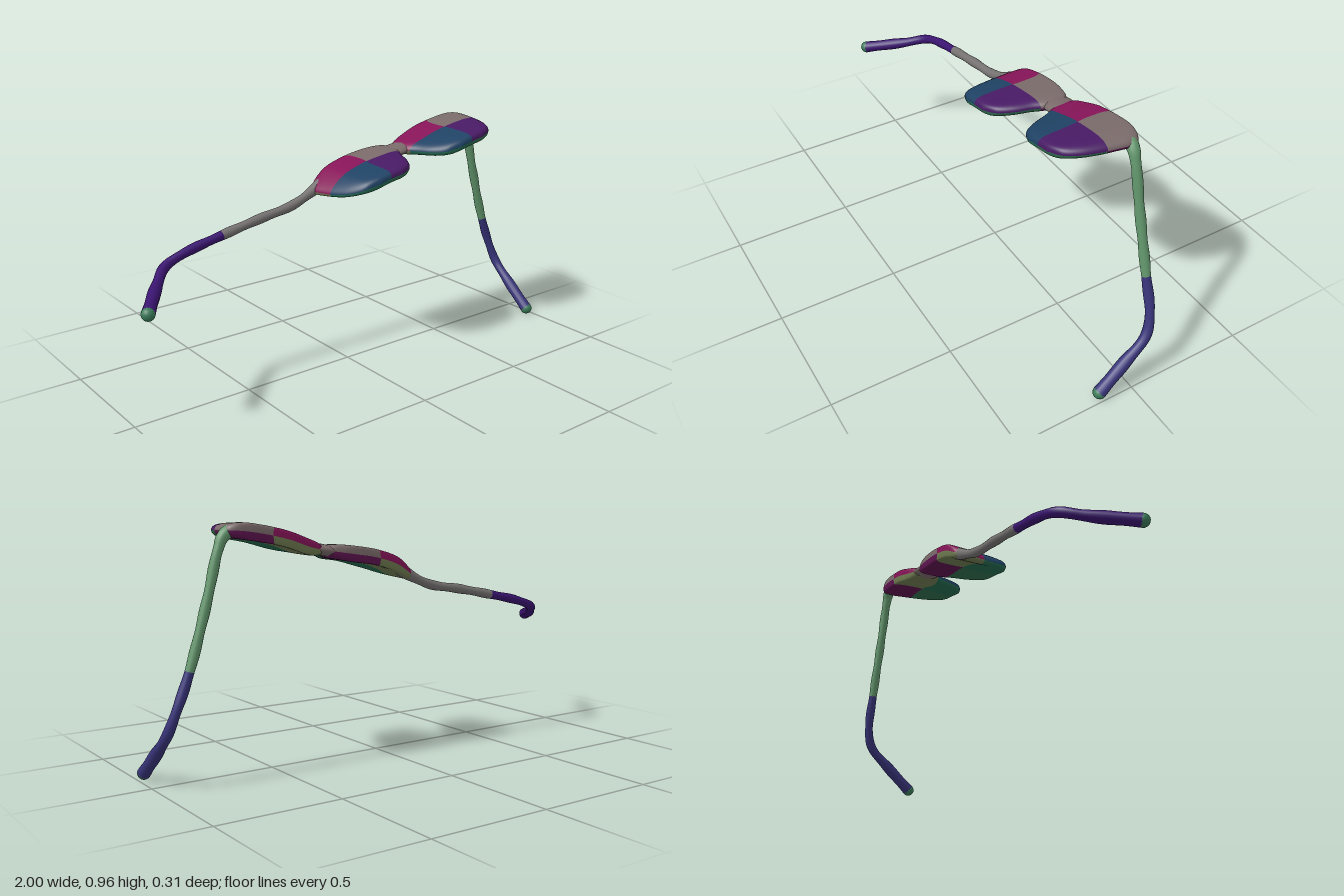
import * as THREE from 'three';
import { ParametricGeometry } from 'three/addons/geometries/ParametricGeometry.js';

const mat = (color) => new THREE.MeshStandardMaterial({ color });
const v2 = (list) => new THREE.SplineCurve(list.map((p) => new THREE.Vector2(...p)));

// Height of the front frame along x (evenly spaced samples from -0.1 to 0.8)
const heights = [0.735, 0.787, 0.817, 0.833, 0.848, 0.866, 0.898, 0.92, 0.934, 0.935];
const heightCurve = v2(heights.map((y, i) => [i / 9, y]));
const frameY = (x) => heightCurve.getPoint(THREE.MathUtils.clamp((x + 0.1) / 0.9, 0, 1)).y;

// Lens outline as [x, z], from brow edge to cheek edge
const outer = v2([[0, -0.153], [-0.07, -0.143], [-0.097, -0.11], [-0.087, -0.04],
  [-0.073, 0.02], [-0.05, 0.08], [-0.012, 0.13], [0.045, 0.153]]);
const inner = v2([[0.17, -0.155], [0.26, -0.149], [0.316, -0.125], [0.312, -0.05],
  [0.285, 0.005], [0.26, 0.07], [0.222, 0.125], [0.165, 0.153]]);
const bridgeX = 0.325;
const ease = (t) => Math.sin((t * 2 - 1) * Math.PI / 2);

// Point on a padded lens: a runs along x, b along z, side is +1 top or -1 underside.
// The lens thins and dips towards the cheek, and its underside is slightly dished.
function lensPoint(a, b, side, mirrored, target) {
  const u = ease(a), v = ease(b);
  const p = outer.getPoint((v + 1) / 2);
  const k = mirrored ? (1 - u) / 2 : (u + 1) / 2;
  p.lerp(inner.getPoint((v + 1) / 2), k);
  const x = mirrored ? 2 * bridgeX - p.x : p.x;
  const cheek = (v + 1) / 2;
  let h = (0.036 - 0.01 * cheek) * Math.sqrt(Math.max(0, (1 - u ** 6) * (1 - v ** 6)));
  if (side < 0) h -= 0.007 * ((1 - u * u) * (1 - v * v)) ** 2;
  target.set(x, frameY(x) - 0.008 * cheek * cheek + side * h, p.y);
}

// Colours per quarter: [brow left, brow right, cheek left, cheek right]
const topColors = [0x861458, 0x7a6a6a, 0x1f4264, 0x481a64];
const underColors = [0x6e7a50, 0x5e1450, 0x246a50, 0x2f6a4c];

function makeLens(name, mirrored) {
  const lens = new THREE.Group();
  lens.name = name;
  for (const side of [1, -1]) {
    for (let q = 0; q < 4; q++) {
      const a0 = (q % 2) / 2, b0 = q < 2 ? 0 : 0.5;
      const geo = new ParametricGeometry((s, t, target) => {
        const [a, b] = side > 0 ? [t, s] : [s, t];
        lensPoint(a0 + a / 2, b0 + b / 2, side, mirrored, target);
      }, 20, 20);
      const mesh = new THREE.Mesh(geo, mat((side > 0 ? topColors : underColors)[q]));
      mesh.name = side > 0 ? 'lensTop' : 'lensUnderside';
      lens.add(mesh);
    }
  }
  return lens;
}

// Temple arm: a tube cut into coloured lengths, thicker at the hinge and the round tip
function makeTemple(name, points, cut, colors) {
  const temple = new THREE.Group();
  temple.name = name;
  const path = new THREE.CatmullRomCurve3(points.map((p) => new THREE.Vector3(...p)));
  const radius = (t) => 0.019 + 0.006 * THREE.MathUtils.smoothstep(t, 0.7, 0.95)
    + 0.006 * (1 - THREE.MathUtils.smoothstep(t, 0, 0.14)) + 0.0012 * Math.sin(t * 45);
  const cuts = [0, cut, 1];
  for (let i = 0; i < 2; i++) {
    const [t0, t1] = [cuts[i], cuts[i + 1]];
    const pts = [];
    for (let j = 0; j <= 16; j++) pts.push(path.getPointAt(t0 + (t1 - t0) * j / 16));
    const piece = new THREE.CatmullRomCurve3(pts);
    const rings = 48, sides = 16;
    const geo = new THREE.TubeGeometry(piece, rings, 1, sides);
    const pos = geo.attributes.position, v = new THREE.Vector3();
    for (let k = 0; k < pos.count; k++) {
      const f = Math.floor(k / (sides + 1)) / rings;
      const c = piece.getPointAt(f);
      v.fromBufferAttribute(pos, k).sub(c).multiplyScalar(radius(t0 + (t1 - t0) * f)).add(c);
      pos.setXYZ(k, v.x, v.y, v.z);
    }
    const mesh = new THREE.Mesh(geo, mat(colors[i]));
    mesh.name = 'templeSection';
    temple.add(mesh);
  }
  // Rounded ends
  for (const t of [0, 1]) {
    const cap = new THREE.Mesh(new THREE.SphereGeometry(radius(t), 16, 12),
      mat(t ? 0x3a7a58 : colors[0]));
    cap.position.copy(path.getPointAt(t));
    cap.name = t ? 'templeTip' : 'hinge';
    temple.add(cap);
  }
  return temple;
}

export function createModel() {
  const model = new THREE.Group();
  model.name = 'sunglasses';
  model.add(makeLens('rightLens', false), makeLens('leftLens', true));

  // Nose bridge
  const bridge = new THREE.Mesh(new THREE.SphereGeometry(1, 28, 18), mat(0x7a6a6a));
  bridge.name = 'bridge';
  bridge.scale.set(0.1, 0.023, 0.057);
  bridge.rotation.z = 0.17;
  bridge.position.set(bridgeX, frameY(bridgeX), -0.088);
  model.add(bridge);

  model.add(makeTemple('rightTemple', [
    [-0.03, 0.768, -0.118], [-0.09, 0.735, -0.115], [-0.2, 0.692, -0.11], [-0.35, 0.667, -0.108],
    [-0.55, 0.628, -0.108], [-0.7, 0.595, -0.105], [-0.79, 0.565, -0.09],
    [-0.86, 0.532, -0.02], [-0.975, 0.494, 0.13],
  ], 0.48, [0x767272, 0x3a1470]));

  model.add(makeTemple('leftTemple', [
    [0.69, 0.932, -0.11], [0.735, 0.927, -0.108], [0.765, 0.87, -0.107], [0.81, 0.7, -0.107],
    [0.887, 0.44, -0.106], [0.942, 0.29, -0.098], [0.965, 0.207, -0.07],
    [0.97, 0.122, 0.02], [0.975, 0.027, 0.13],
  ], 0.52, [0x62966c, 0x38347a]));
  return model;
}
